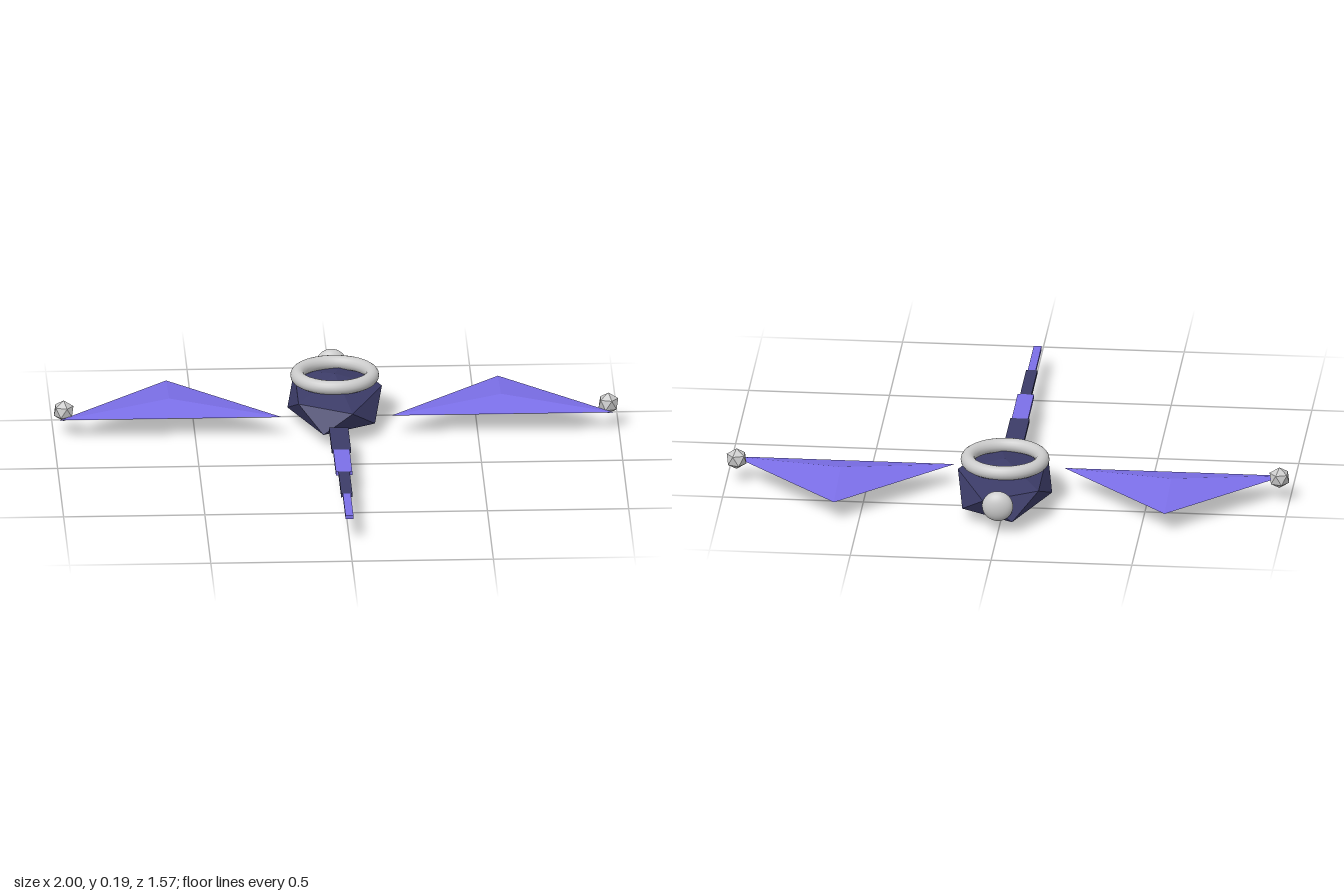
import * as THREE from 'three';

const grey = new THREE.MeshStandardMaterial({ color: 0xcccccc });
const greyFaceted = new THREE.MeshStandardMaterial({ color: 0xcccccc, flatShading: true });
const dark = new THREE.MeshStandardMaterial({ color: 0x3c3c68, flatShading: true });
const purple = new THREE.MeshStandardMaterial({ color: 0x7b6fe8, flatShading: true });

// Icosahedron standing on a corner, with an upper-ring corner towards +x
function polarIcosahedron(rx, ry, rz) {
  return new THREE.IcosahedronGeometry(1, 0)
    .rotateX(-Math.atan2((1 + Math.sqrt(5)) / 2, 1))
    .rotateY(Math.PI / 2)
    .scale(rx, ry, rz);
}

export function createModel() {
  const model = new THREE.Group();
  model.name = 'flyer';

  const add = (name, geometry, material, x, y, z) => {
    const mesh = new THREE.Mesh(geometry, material);
    mesh.name = name;
    mesh.position.set(x, y, z);
    model.add(mesh);
    return mesh;
  };

  // Faceted body, with a ring on its back and a rounded nub at the rear
  add('body', polarIcosahedron(0.187, 0.086, 0.341), dark, 0, 0.088, -0.465);
  add('ring', new THREE.TorusGeometry(0.132, 0.025, 16, 64).rotateX(Math.PI / 2), grey, 0, 0.17, -0.463);
  add('rearNub', new THREE.SphereGeometry(1, 32, 20).scale(0.055, 0.055, 0.034), grey, 0, 0.107, -0.75);

  // Wings: flat three-sided pyramids, each with a small bead at the tip
  const wingHeight = 0.028;
  for (const [side, label] of [[1, 'left'], [-1, 'right']]) {
    const wing = new THREE.ConeGeometry(0.263, wingHeight, 3).rotateY(Math.PI).scale(1.723, 1, 1);
    add(label + 'Wing', wing, purple, side * 0.587, 0.075 + wingHeight / 2, -0.427);
    add(label + 'WingBead', polarIcosahedron(0.039, 0.039, 0.039), greyFaceted, side * 0.964, 0.09, -0.352);
  }

  // Tail: four thin segments, narrowing step by step in alternating colours
  const widths = [0.068, 0.058, 0.04, 0.028];
  const length = 0.2265;
  widths.forEach((width, i) => {
    add('tailSegment' + (i + 1), new THREE.BoxGeometry(width, 0.014, length),
      i % 2 ? purple : dark, 0, 0.088, -0.124 + length * (i + 0.5));
  });

  return model;
}
